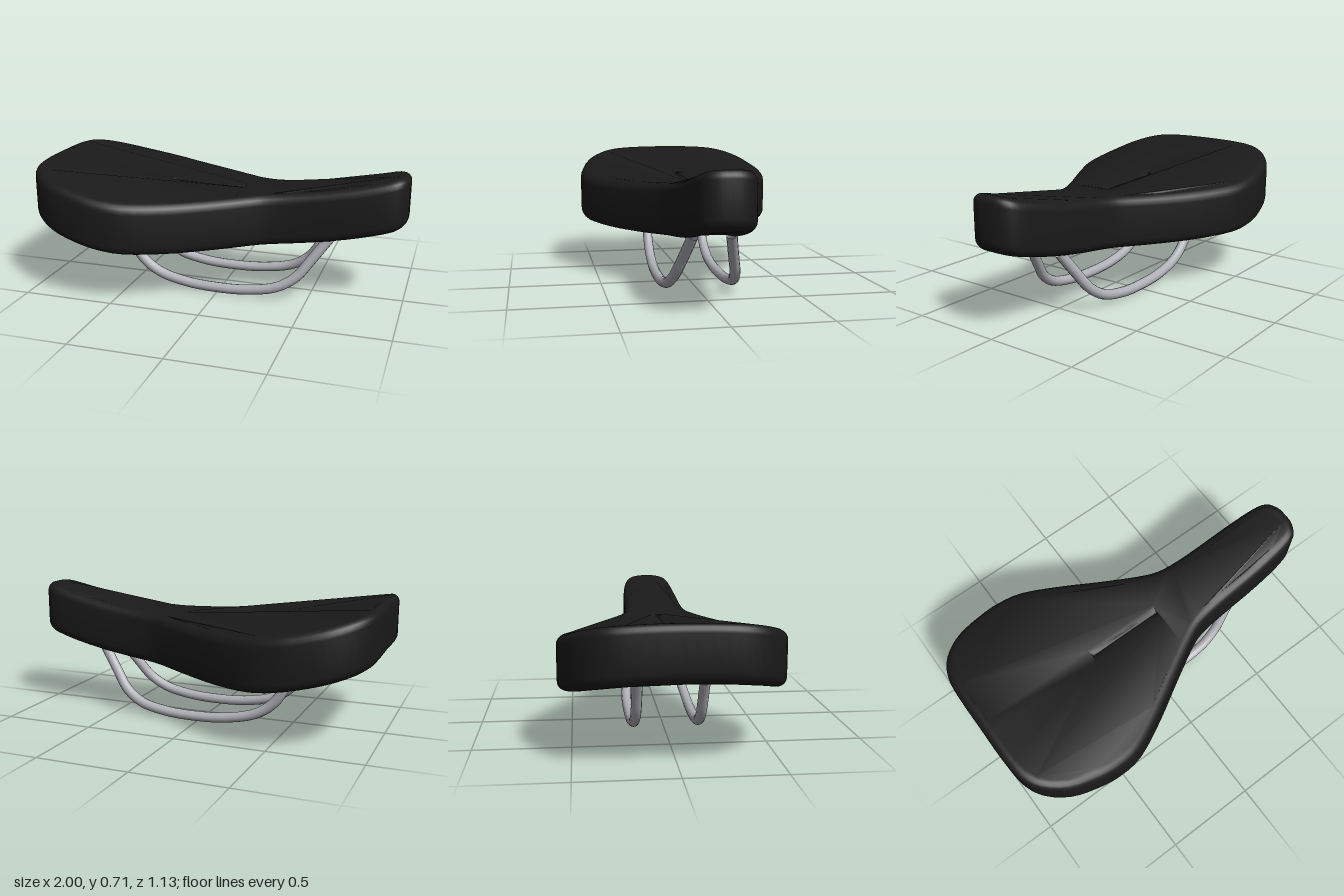
import * as THREE from 'three';
import { toCreasedNormals } from 'three/addons/utils/BufferGeometryUtils.js';

const padMaterial = new THREE.MeshStandardMaterial({ color: 0x1a1a1a });
padMaterial.name = 'black cover';
const railMaterial = new THREE.MeshStandardMaterial({ color: 0xb0b0b8, side: THREE.DoubleSide });
railMaterial.name = 'silver rail';

// Half outline from the middle of the tail to the tip of the nose: [x, half width]
const halfOutline = [
  [-1, 0], [-1, 0.2], [-0.985, 0.33], [-0.93, 0.43], [-0.82, 0.51], [-0.68, 0.55],
  [-0.55, 0.565], [-0.4, 0.545], [-0.2, 0.45], [0, 0.335], [0.2, 0.225], [0.3, 0.19],
  [0.45, 0.175], [0.7, 0.165], [0.88, 0.148], [0.96, 0.12], [0.995, 0.06], [1, 0],
];

function createPad() {
  const mirrored = halfOutline.slice(0, -1).reverse().map(([x, w]) => [x, -w]);
  const points = [...halfOutline, ...mirrored].map(([x, w]) => new THREE.Vector2(x, w));
  const outline = new THREE.SplineCurve(points).getPoints(102);
  outline.pop();
  const shape = new THREE.Shape(outline);

  // Pointed relief slot along the middle
  const slot = new THREE.Path();
  slot.moveTo(-0.38, 0);
  slot.quadraticCurveTo(-0.1, 0.056, 0.18, 0);
  slot.quadraticCurveTo(-0.1, -0.056, -0.38, 0);
  shape.holes.push(slot);

  const bevel = 0.05;
  const geometry = new THREE.ExtrudeGeometry(shape, {
    depth: 0.18, bevelThickness: bevel, bevelSize: bevel, bevelOffset: -bevel,
    bevelSegments: 5, curveSegments: 10,
  });
  geometry.translate(0, 0, bevel);
  geometry.rotateX(-Math.PI / 2);

  // Lift the nose and tail, let the sides droop
  const position = geometry.attributes.position;
  for (let i = 0; i < position.count; i++) {
    const x = position.getX(i), z = position.getZ(i);
    position.setY(i, position.getY(i) + 0.295 + 0.145 * x * x - 0.09 * z * z);
  }
  geometry.clearGroups();
  return new THREE.Mesh(toCreasedNormals(geometry, 0.6), padMaterial);
}

// Rail path: [x, y, z], splayed in the middle and pinched toward the nose
const railPath = [
  [-0.56, 0.345, 0.17], [-0.52, 0.28, 0.17], [-0.44, 0.155, 0.17], [-0.34, 0.083, 0.172],
  [-0.18, 0.042, 0.176], [0, 0.03, 0.179], [0.18, 0.038, 0.18], [0.34, 0.072, 0.175],
  [0.44, 0.135, 0.157], [0.51, 0.225, 0.132], [0.565, 0.3, 0.112], [0.605, 0.355, 0.098],
];

function createRail(side) {
  const curve = new THREE.CatmullRomCurve3(
    railPath.map(([x, y, z]) => new THREE.Vector3(x, y, z * side)));
  return new THREE.Mesh(new THREE.TubeGeometry(curve, 64, 0.028, 12), railMaterial);
}

export function createModel() {
  const model = new THREE.Group();
  model.name = 'bicycle saddle';

  const pad = createPad();
  pad.name = 'saddle pad';
  model.add(pad);

  for (const side of [1, -1]) {
    const rail = createRail(side);
    rail.name = side > 0 ? 'front rail' : 'back rail';
    model.add(rail);
  }
  return model;
}
